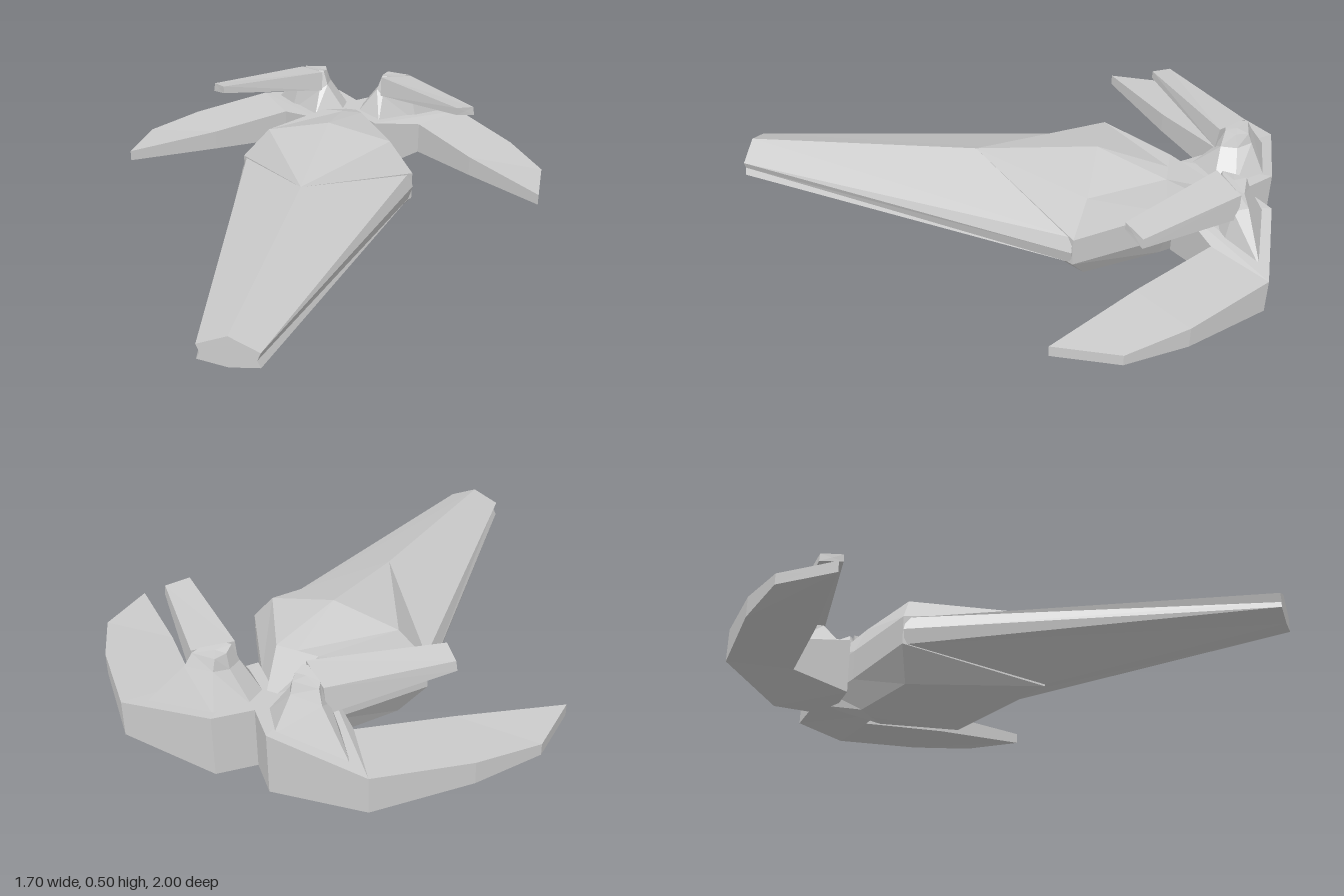
import * as THREE from 'three';

const material = new THREE.MeshStandardMaterial({ color: 0xcccccc, flatShading: true });

// Closed faceted solid through rings of [x, y, z] points, capped at both ends.
function loft(name, rings) {
  const tris = [];
  const n = rings[0].length;
  for (let r = 0; r < rings.length - 1; r++) {
    for (let i = 0; i < n; i++) {
      const j = (i + 1) % n;
      const [a, b, c, d] = [rings[r][i], rings[r][j], rings[r + 1][j], rings[r + 1][i]];
      tris.push([a, b, c], [a, c, d]);
    }
  }
  const cap = (ring, flip) => {
    const mid = [0, 1, 2].map(k => ring.reduce((s, p) => s + p[k], 0) / n);
    ring.forEach((p, i) => {
      const q = ring[(i + 1) % n];
      tris.push(flip ? [mid, q, p] : [mid, p, q]);
    });
  };
  cap(rings[0], true);
  cap(rings[rings.length - 1], false);

  // Signed volume decides which way the faces must wind.
  const v = p => new THREE.Vector3(...p);
  const volume = tris.reduce((s, [a, b, c]) => s + v(a).dot(v(b).cross(v(c))), 0);
  if (volume < 0) tris.forEach(t => t.reverse());

  const geometry = new THREE.BufferGeometry();
  geometry.setAttribute('position', new THREE.Float32BufferAttribute(tris.flat(2), 3));
  geometry.computeVertexNormals();
  const mesh = new THREE.Mesh(geometry, material);
  mesh.name = name;
  return mesh;
}

// Full ring from its right-hand half, listed top centre to bottom centre.
const symmetric = half => [
  ...half,
  ...half.slice(1, -1).reverse().map(([x, y, z]) => [-x, y, z]),
];

// Four-cornered wing section from leading and trailing points and half thickness.
const wingSection = ([fx, fz, bx, bz, h], side) => [
  [side * fx, 0.23 + h, fz], [side * bx, 0.23 + h, bz],
  [side * bx, 0.23 - h, bz], [side * fx, 0.23 - h, fz],
];

export function createModel() {
  const group = new THREE.Group();

  // Long tapering hull with a shallow groove at the nose
  group.add(loft('hull', [
    [[0, 0.31, 1], [0.105, 0.265, 1], [0.093, 0.235, 1], [0.105, 0.21, 1], [0, 0.195, 1]],
    [[0, 0.42, -0.32], [0.335, 0.285, -0.32], [0.355, 0.23, -0.32], [0.34, 0.175, -0.32], [0, 0.045, -0.32]],
  ].map(symmetric)));

  // Faceted body, bulging above and below the hull and closing at the tail
  const top = [0, 0.385, 0.1], bottom = [0, 0.085, 0.1];
  group.add(loft('body', [
    [top, top, top, bottom, bottom, bottom],
    [[0, 0.455, -0.355], [0.25, 0.4, -0.355], [0.35, 0.285, -0.325],
      [0.35, 0.175, -0.325], [0.25, 0.06, -0.355], [0, 0.005, -0.355]],
    [[0, 0.4, -0.62], [0.08, 0.4, -0.62], [0.13, 0.29, -0.64],
      [0.13, 0.17, -0.64], [0.08, 0.06, -0.62], [0, 0.06, -0.62]],
    [[0, 0.34, -0.79], [0.02, 0.34, -0.79], [0.03, 0.29, -0.79],
      [0.03, 0.17, -0.79], [0.02, 0.12, -0.79], [0, 0.12, -0.79]],
  ].map(symmetric)));

  for (const side of [1, -1]) {
    const label = side > 0 ? 'left' : 'right';
    const mirror = ring => ring.map(([x, y, z]) => [side * x, y, z]);

    // Forward-swept wing, thick at the tail and thin at the tip
    group.add(loft(label + 'Wing', [
      [0, -0.78, 0, -0.9, 0.11],
      [0.13, -0.66, 0.1, -1, 0.11],
      [0.3, -0.8, 0.45, -1, 0.065],
      [0.55, -0.565, 0.7, -0.76, 0.04],
      [0.85, -0.32, 0.845, -0.56, 0.021],
    ].map(s => wingSection(s, side))));

    // Tapering pylon above the wing root
    group.add(loft(label + 'Pylon', [
      [[0.03, 0.33, -0.79], [0.03, 0.33, -0.87], [0.11, 0.33, -0.97],
        [0.38, 0.29, -0.97], [0.28, 0.29, -0.84], [0.14, 0.33, -0.7]],
      [[0.11, 0.44, -0.8], [0.11, 0.44, -0.86], [0.14, 0.45, -0.91],
        [0.25, 0.44, -0.91], [0.25, 0.42, -0.86], [0.14, 0.42, -0.78]],
      [[0.13, 0.5, -0.81], [0.125, 0.49, -0.85], [0.14, 0.49, -0.895],
        [0.23, 0.485, -0.89], [0.22, 0.49, -0.86], [0.15, 0.5, -0.81]],
    ].map(mirror)));

    // Upper blade reaching forward and outward from the pylon
    group.add(loft(label + 'Blade', [
      [[0.13, 0.5, -0.79], [0.24, 0.485, -0.88], [0.25, 0.39, -0.88], [0.13, 0.42, -0.78]],
      [[0.49, 0.505, -0.51], [0.55, 0.49, -0.575], [0.555, 0.455, -0.575], [0.49, 0.475, -0.51]],
    ].map(mirror)));
  }
  return group;
}
